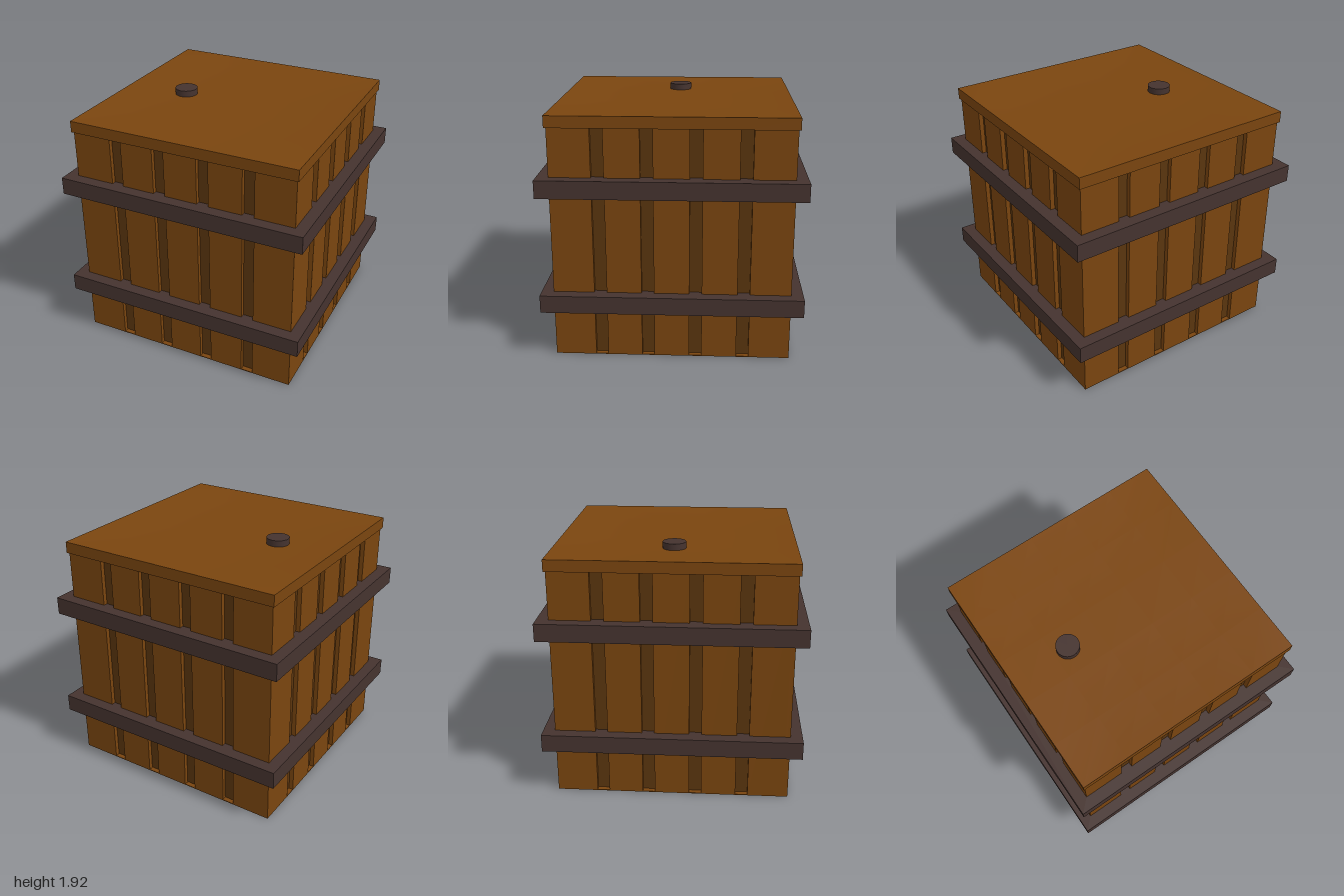
import * as THREE from 'three';

const wood = new THREE.MeshStandardMaterial({ color: 0x7a450f });
const darkWood = new THREE.MeshStandardMaterial({ color: 0x5a350e });
const iron = new THREE.MeshStandardMaterial({ color: 0x45332f });

const HALF = 0.908;     // outer half width of the planks
const DEPTH = 0.035;    // groove depth
const BODY_TOP = 1.81;
const GROOVES = [-0.546, -0.184, 0.18, 0.546];
const GROOVE_WIDTH = 0.095;

function part(name, geometry, material, x = 0, y = 0, z = 0) {
  const mesh = new THREE.Mesh(geometry, material);
  mesh.name = name;
  mesh.position.set(x, y, z);
  return mesh;
}

// Planks of one side, separated by the grooves
function plankWall() {
  const wall = new THREE.Group();
  wall.name = 'plankWall';
  let left = -HALF;
  for (const groove of [...GROOVES, HALF + GROOVE_WIDTH / 2]) {
    const right = groove - GROOVE_WIDTH / 2;
    const geo = new THREE.BoxGeometry(right - left, BODY_TOP, DEPTH);
    wall.add(part('plank', geo, wood, (left + right) / 2, BODY_TOP / 2, HALF - DEPTH / 2));
    left = groove + GROOVE_WIDTH / 2;
  }
  return wall;
}

// Lid whose top dips gently towards a flat middle
function lidGeometry() {
  const half = 0.922, height = 0.09, dip = 0.025, flat = 0.553;
  const geo = new THREE.BoxGeometry(half * 2, height, half * 2, 5, 1, 5);
  const p = geo.attributes.position;
  for (let i = 0; i < p.count; i++) {
    if (p.getY(i) < 0) continue;
    const edge = Math.max(Math.abs(p.getX(i)), Math.abs(p.getZ(i)));
    const t = THREE.MathUtils.clamp((half - edge) / (half - flat), 0, 1);
    p.setY(i, height / 2 - dip * t);
  }
  geo.computeVertexNormals();
  return geo;
}

// Square iron hoop
function bandGeometry(height) {
  const square = (s) => [[-s, -s], [s, -s], [s, s], [-s, s]].map(([x, y]) => new THREE.Vector2(x, y));
  const shape = new THREE.Shape(square(1));
  shape.holes.push(new THREE.Path(square(HALF - DEPTH)));
  const geo = new THREE.ExtrudeGeometry(shape, { depth: height, bevelEnabled: false });
  return geo.rotateX(-Math.PI / 2);
}

export function createModel() {
  const model = new THREE.Group();
  model.name = 'squareBarrel';

  // Dark core seen at the bottom of the grooves, and a thin base board
  const core = (HALF - DEPTH) * 2;
  model.add(part('core', new THREE.BoxGeometry(core, BODY_TOP - 0.01, core), darkWood, 0, BODY_TOP / 2 + 0.005, 0));
  model.add(part('base', new THREE.BoxGeometry(HALF * 2, 0.006, HALF * 2), wood, 0, 0.003, 0));

  for (let i = 0; i < 4; i++) {
    const wall = plankWall();
    wall.rotation.y = (i * Math.PI) / 2;
    model.add(wall);
  }

  // Iron bands
  for (const y of [0.39, 1.3]) model.add(part('band', bandGeometry(0.138), iron, 0, y, 0));

  // Lid and its plug
  model.add(part('lid', lidGeometry(), wood, 0, BODY_TOP + 0.045, 0));
  model.add(part('plug', new THREE.CylinderGeometry(0.09, 0.09, 0.07, 32), iron, -0.437, 1.89, -0.01));
  return model;
}
